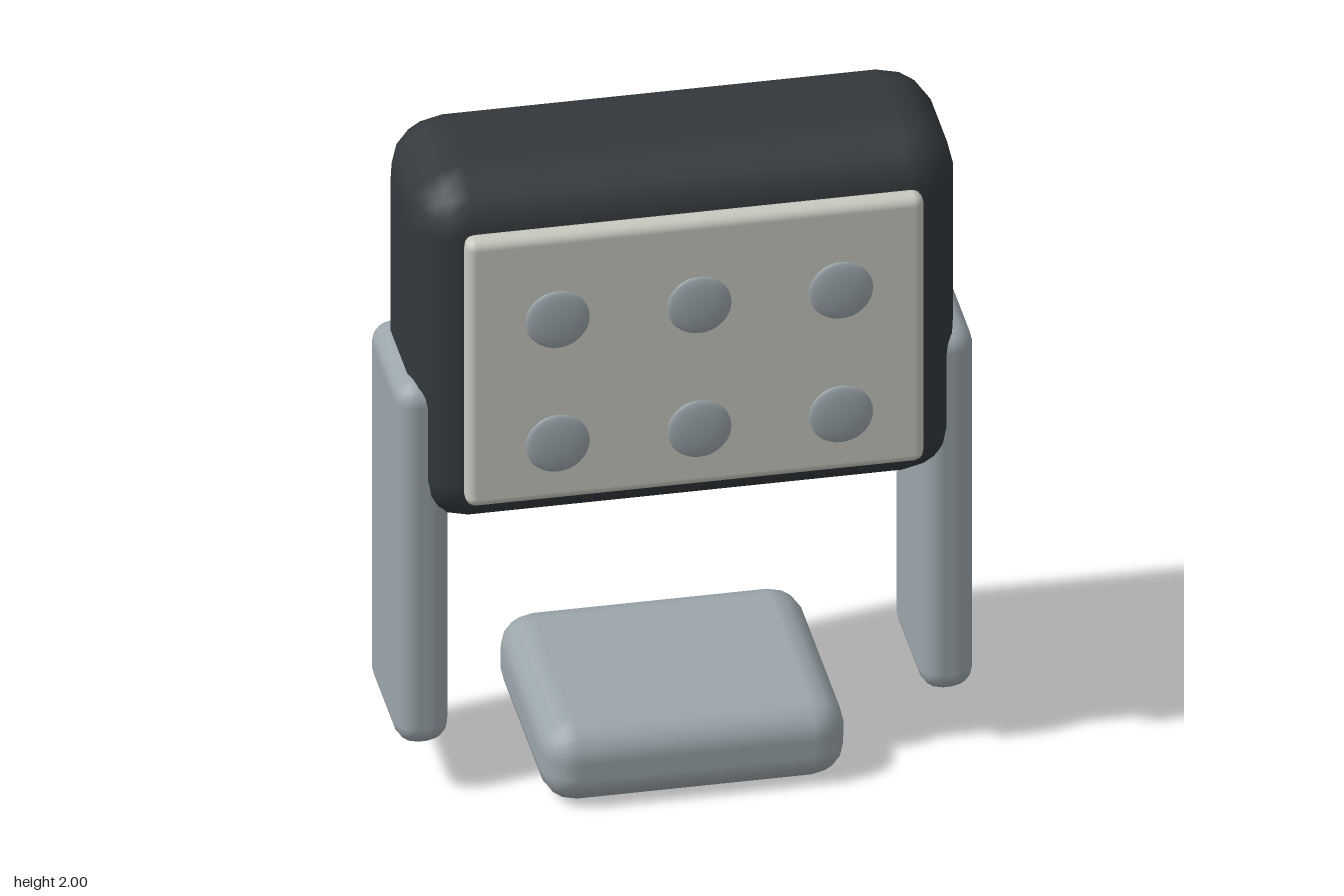
import * as THREE from 'three';
import { RoundedBoxGeometry } from 'three/addons/geometries/RoundedBoxGeometry.js';

const paint = (color) => new THREE.MeshStandardMaterial({ color });

export function createModel() {
  const model = new THREE.Group();
  const dark = paint(0x34393d);
  const cream = paint(0xc9c9c0);
  const steel = paint(0x9ba6ab);

  // Soft-edged block given by its size, radius and centre
  const block = (name, [w, h, d], radius, [x, y, z], material) => {
    const mesh = new THREE.Mesh(new RoundedBoxGeometry(w, h, d, 2, radius), material);
    mesh.name = name;
    mesh.position.set(x, y, z);
    model.add(mesh);
  };

  // Main housing and the panel on its front
  block('housing', [1.56, 1.12, 0.555], 0.16, [0, 1.44, -0.017], dark);
  block('frontPanel', [1.31, 0.87, 0.07], 0.03, [0, 1.443, 0.296], cream);

  // Foot block and the two side arms
  block('base', [0.87, 0.25, 0.75], 0.1, [0, 0.125, -0.017], steel);
  for (const side of [-1, 1]) {
    const name = side > 0 ? 'leftArm' : 'rightArm';
    block(name, [0.155, 1.18, 0.435], 0.065, [side * 0.75, 0.75, -0.015], steel);
  }

  // Two rows of three flattened round buttons
  const buttons = new THREE.Group();
  buttons.name = 'buttons';
  const disc = new THREE.SphereGeometry(0.092, 24, 16);
  disc.scale(1, 1, 0.16);
  for (const y of [1.225, 1.63]) {
    for (const x of [-0.405, 0, 0.405]) {
      const button = new THREE.Mesh(disc, steel);
      button.name = 'button';
      button.position.set(x, y, 0.375);
      buttons.add(button);
    }
  }
  model.add(buttons);

  return model;
}
